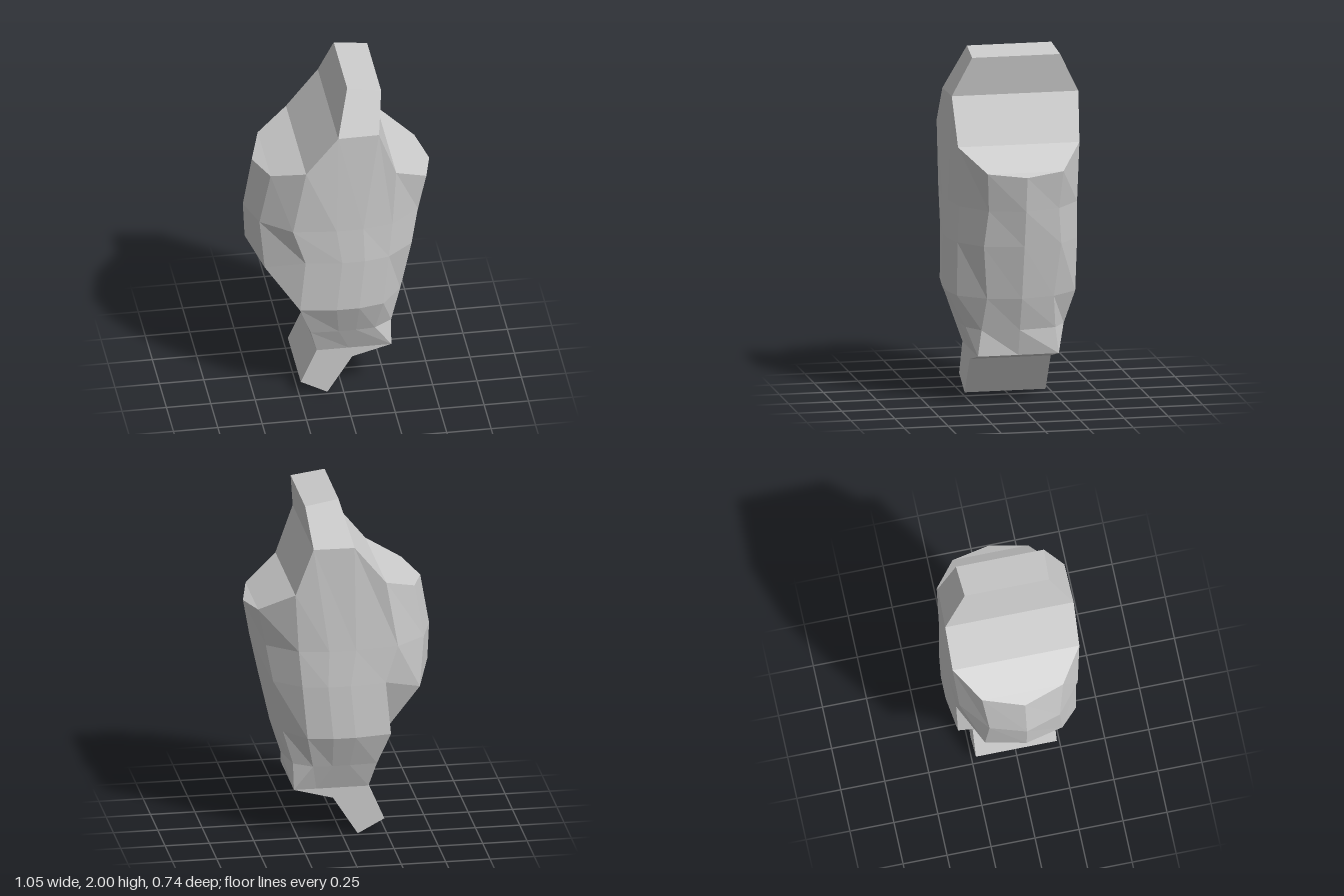
import * as THREE from 'three';

const { lerp } = THREE.MathUtils;

// Points are [x, y, half depth], used on the front and mirrored on the back.
const front = ([x, y, z]) => new THREE.Vector3(x, y, z);
const back = ([x, y, z]) => new THREE.Vector3(x, y, -z);

// Collects flat faces, skipping collapsed triangles.
class Faces {
  pos = [];
  poly(...v) {
    for (let i = 1; i < v.length - 1; i++) {
      const t = new THREE.Triangle(v[0], v[i], v[i + 1]);
      if (t.getArea() > 1e-6) for (const p of [t.a, t.b, t.c]) this.pos.push(p.x, p.y, p.z);
    }
  }
  // the same outline on the front and, reversed, on the back
  sides(...pts) {
    this.poly(...pts.map(front));
    this.poly(...pts.map(back).reverse());
  }
  // a band across the depth, following a profile
  strip(path) {
    for (let i = 0; i < path.length - 1; i++) {
      const [a, b] = [path[i], path[i + 1]];
      this.poly(front(a), front(b), back(b), back(a));
    }
  }
  mesh(name, material) {
    const g = new THREE.BufferGeometry();
    g.setAttribute('position', new THREE.Float32BufferAttribute(this.pos, 3));
    g.computeVertexNormals();
    const m = new THREE.Mesh(g, material);
    m.name = name;
    return m;
  }
}

// Half of a twelve-sided section, from the -x middle around the front to the
// +x middle: outer edges, flat front between two corners, and depths.
function section({ y, outer: [l, r], flat: [fl, fr], depth, corner, bevel = 0.92, drop = 0 }) {
  return [
    [l, y, 0],
    [lerp(l, fl, 0.27), y - drop, corner],
    [fl, y, depth * bevel],
    [lerp(fl, fr, 0.43), y, depth],
    [lerp(fl, fr, 0.7), y, depth],
    [fr, y, depth * bevel],
    [lerp(r, fr, 0.27), y, corner],
    [r, y, 0],
  ];
}

export function createModel() {
  const group = new THREE.Group();
  const grey = new THREE.MeshStandardMaterial({ color: 0xcccccc, flatShading: true });

  // Faceted body with sloping shoulders
  const shoulder = [
    [-0.48, 1.43, 0], [-0.41, 1.455, 0.23], [-0.23, 1.53, 0.36], [-0.05, 1.75, 0.365],
    [0.18, 1.75, 0.36], [0.28, 1.48, 0.345], [0.47, 1.36, 0.215], [0.52, 1.34, 0],
  ];
  const base = section({ y: 0.28, outer: [-0.15, 0.27], flat: [-0.15, 0.27], depth: 0.23, corner: 0.23, bevel: 1 });
  const levels = [
    shoulder,
    section({ y: 1.14, outer: [-0.53, 0.485], flat: [-0.3, 0.26], depth: 0.365, corner: 0.2 }),
    section({ y: 0.93, outer: [-0.52, 0.44], flat: [-0.23, 0.24], depth: 0.37, corner: 0.22, drop: 0.08 }),
    section({ y: 0.62, outer: [-0.28, 0.37], flat: [-0.26, 0.21], depth: 0.365, corner: 0.19 }),
    section({ y: 0.43, outer: [-0.2, 0.31], flat: [-0.19, 0.17], depth: 0.287, corner: 0.21, bevel: 0.97 }),
    base,
  ];
  const body = new Faces();
  for (let r = 0; r < levels.length - 1; r++) {
    const [a, b] = [levels[r], levels[r + 1]];
    for (let i = 0; i < a.length - 1; i++) body.sides(a[i], b[i], b[i + 1], a[i + 1]);
  }
  body.strip(shoulder.slice(0, 4));
  body.strip(shoulder.slice(4));
  group.add(body.mesh('body', grey));

  // Tapered neck on top
  const neck = new Faces();
  const neckPath = [shoulder[3], [0.02, 2, 0.24], [0.21, 1.97, 0.25], shoulder[4]];
  neck.strip(neckPath);
  neck.sides(...[...neckPath].reverse());
  group.add(neck.mesh('neck', grey));

  // Slanted stub below, with the sloping underside beside it
  const stub = new Faces();
  const baseLeft = base[2], baseRight = base[5], inner = [0.05, 0.22, 0.23];
  const stubPath = [inner, [-0.09, 0, 0.23], [-0.24, 0.08, 0.23], baseLeft];
  stub.strip([baseRight, ...stubPath]);
  stub.sides(...[...stubPath].reverse());
  stub.sides(baseLeft, inner, baseRight);
  group.add(stub.mesh('lowerStub', grey));

  return group;
}
